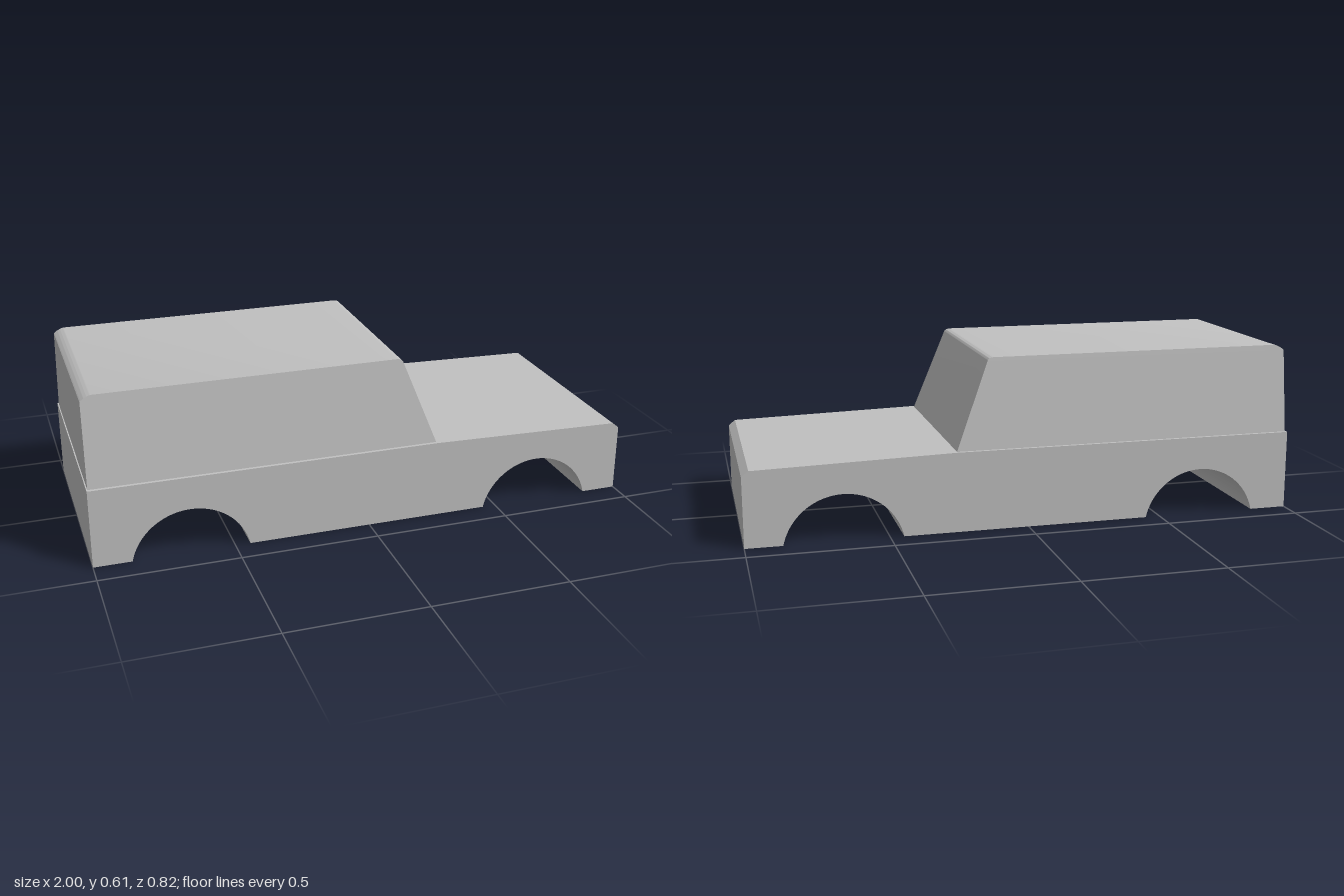
import * as THREE from 'three';
import { toCreasedNormals } from 'three/addons/utils/BufferGeometryUtils.js';

const HALF_WIDTH = 0.408;
const SILL = 0.288; // height where the cabin meets the body

const paint = new THREE.MeshStandardMaterial({ color: 0xc0c0c0 });
paint.name = 'grey paint';

// Extrudes a side profile evenly about z = 0
function extrudeProfile(shape, halfWidth) {
  const geometry = new THREE.ExtrudeGeometry(shape, {
    depth: halfWidth * 2, bevelEnabled: false, curveSegments: 32,
  });
  return geometry.translate(0, 0, -halfWidth);
}

function addPart(group, name, geometry) {
  const mesh = new THREE.Mesh(toCreasedNormals(geometry, 0.35), paint);
  mesh.name = name;
  group.add(mesh);
}

// Cuts a wheel arch into the bottom edge, going towards +x
function wheelArch(shape, x) {
  const halfChord = 0.209, height = 0.168;
  const radius = (halfChord ** 2 + height ** 2) / (2 * height);
  const centreY = height - radius;
  const start = Math.atan2(-centreY, -halfChord);
  shape.lineTo(x - halfChord, 0);
  shape.absarc(x, centreY, radius, start, Math.PI - start, true);
}

export function createModel() {
  const model = new THREE.Group();
  model.name = 'carBody';

  // Lower body with wheel arches and sloping bonnet
  const body = new THREE.Shape();
  body.moveTo(-1, 0);
  wheelArch(body, -0.655);
  wheelArch(body, 0.66);
  body.lineTo(1, 0);
  body.lineTo(1, 0.25);
  body.lineTo(0.975, 0.27);
  body.lineTo(0.26, SILL);
  body.lineTo(-1, SILL);
  body.closePath();
  addPart(model, 'lowerBody', extrudeProfile(body, HALF_WIDTH));

  // Cabin with raked windscreen and softened roof edges
  const roof = 0.61, sillHalf = 0.396, roofHalf = 0.357;
  const cabin = new THREE.Shape();
  cabin.moveTo(-0.996, SILL);
  cabin.lineTo(0.258, SILL);
  cabin.lineTo(0.138, 0.598);
  cabin.quadraticCurveTo(0.133, roof, 0.112, roof);
  cabin.lineTo(-0.957, roof);
  cabin.quadraticCurveTo(-0.978, 0.605, -0.994, 0.59);
  cabin.closePath();
  const cabinGeometry = extrudeProfile(cabin, 1);

  // Lean the sides inwards towards the roof
  const p = cabinGeometry.attributes.position;
  for (let i = 0; i < p.count; i++) {
    const t = (p.getY(i) - SILL) / (roof - SILL);
    p.setZ(i, Math.sign(p.getZ(i)) * THREE.MathUtils.lerp(sillHalf, roofHalf, t));
  }
  cabinGeometry.computeVertexNormals();
  addPart(model, 'cabin', cabinGeometry);

  return model;
}
